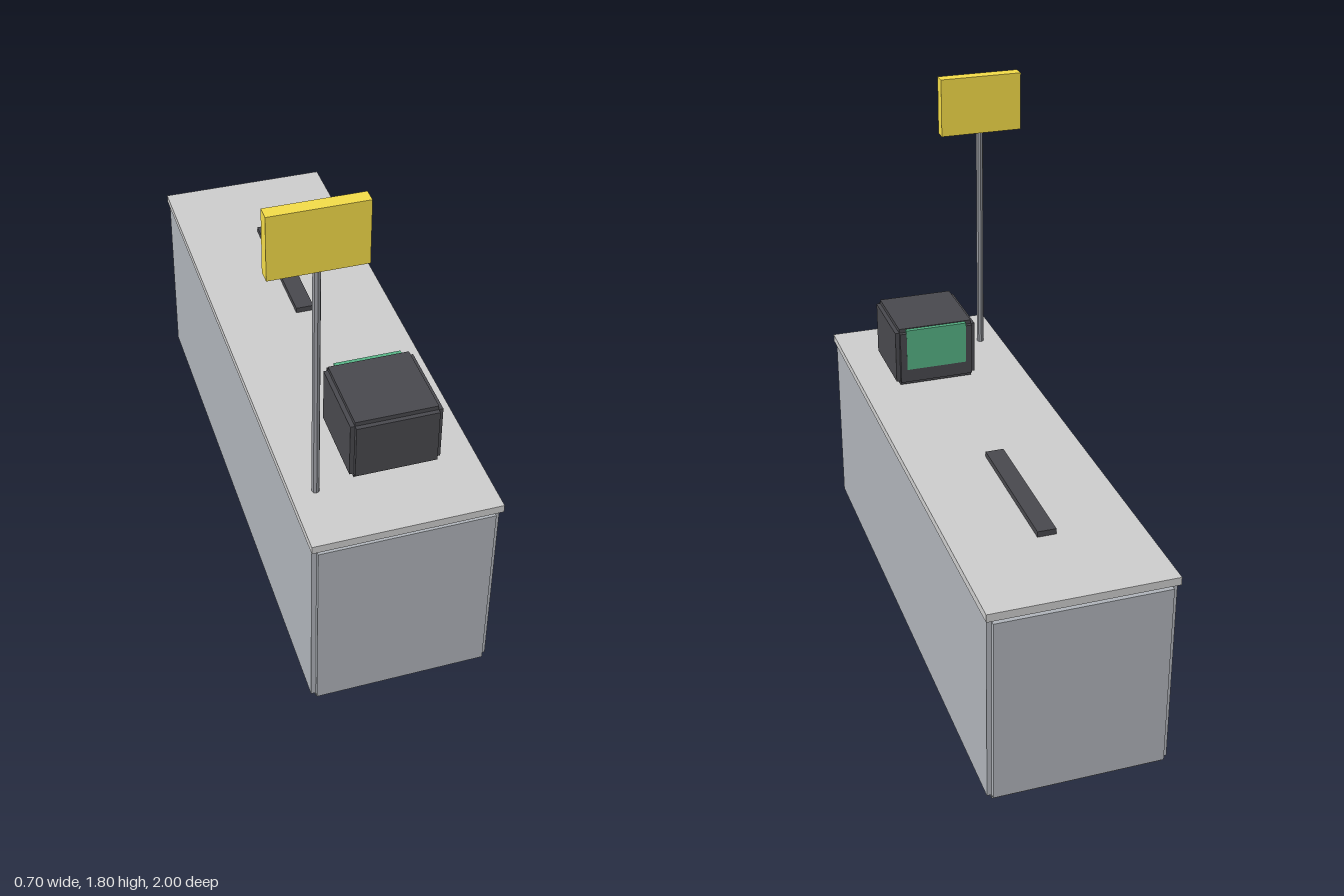
import * as THREE from 'three';

const material = (color) => new THREE.MeshStandardMaterial({ color, flatShading: true });

// Box given by its [min, max] range on each axis
function box(name, x, y, z, mat) {
  const mesh = new THREE.Mesh(
    new THREE.BoxGeometry(x[1] - x[0], y[1] - y[0], z[1] - z[0]), mat);
  mesh.position.set((x[0] + x[1]) / 2, (y[0] + y[1]) / 2, (z[0] + z[1]) / 2);
  mesh.name = name;
  return mesh;
}

// Block with stepped edges: three crossed boxes, each full size on one axis only
function notchedBlock(name, x, y, z, inset, mat) {
  const group = new THREE.Group();
  group.name = name;
  const trim = ([a, b]) => [a + inset, b - inset];
  group.add(
    box(name + 'Sides', x, trim(y), trim(z), mat),
    box(name + 'TopAndBottom', trim(x), y, trim(z), mat),
    box(name + 'FrontAndBack', trim(x), trim(y), z, mat));
  return group;
}

export function createModel() {
  const model = new THREE.Group();
  model.name = 'checkoutCounter';
  const grey = material(0xcccccc);
  const panel = material(0xaeb2b8);
  const dark = material(0x48484d);
  const steel = material(0x94969c);
  const yellow = material(0xf2da48);
  const green = material(0x55b083);

  // Counter
  model.add(notchedBlock('cabinet', [-0.275, 0.338], [0, 0.7], [-0.997, 0.997], 0.016, panel));
  model.add(box('worktop', [-0.28, 0.345], [0.697, 0.725], [-1, 1], grey));
  model.add(box('dividerBar', [0, 0.064], [0.725, 0.745], [-0.655, -0.12], dark));

  // Till with its screen on the back
  model.add(notchedBlock('till', [-0.083, 0.222], [0.735, 0.963], [0.46, 0.77], 0.015, dark));
  model.add(box('tillScreen', [-0.045, 0.183], [0.8, 0.96], [0.4595, 0.475], green));

  // Lane sign on its pole
  const pole = new THREE.Mesh(new THREE.CylinderGeometry(0.013, 0.013, 0.87, 8), steel);
  pole.position.set(-0.198, 1.158, 0.768);
  pole.name = 'signPole';
  model.add(pole);
  model.add(box('laneSign', [-0.351, -0.046], [1.588, 1.802], [0.745, 0.79], yellow));

  return model;
}
